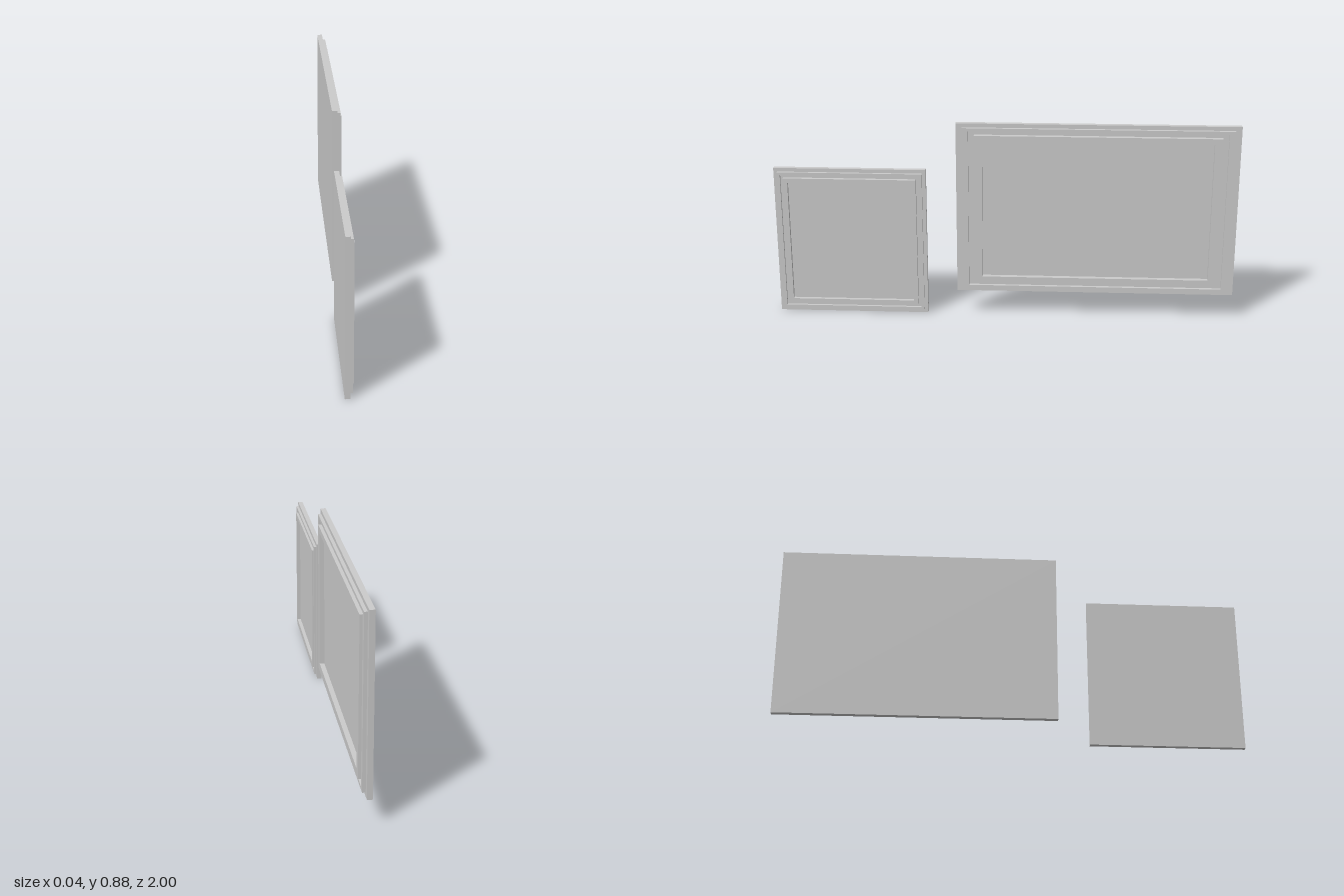
import * as THREE from 'three';

const material = new THREE.MeshStandardMaterial({ color: 0xcccccc });
const BACK = -0.023;

// Rectangle [width, height] centred on the origin
function rectangle(PathType, w, h) {
  const p = new PathType();
  p.moveTo(-w / 2, -h / 2);
  p.lineTo(w / 2, -h / 2);
  p.lineTo(w / 2, h / 2);
  p.lineTo(-w / 2, h / 2);
  p.closePath();
  return p;
}

// Raised rectangular moulding between an outer and an inner outline, facing +x
function moulding(name, outer, inner, x0, x1) {
  const shape = rectangle(THREE.Shape, ...outer);
  shape.holes.push(rectangle(THREE.Path, ...inner));
  const geometry = new THREE.ExtrudeGeometry(shape, { depth: x1 - x0, bevelEnabled: false });
  geometry.rotateY(Math.PI / 2);
  geometry.translate(x0, 0, 0);
  const mesh = new THREE.Mesh(geometry, material);
  mesh.name = name;
  return mesh;
}

function wallPanel({ name, z, y, width, height, plate, outer, inner, insets }) {
  const panel = new THREE.Group();
  panel.name = name;
  panel.position.set(0, y, z);

  // Flat backing plate
  const board = new THREE.Mesh(new THREE.BoxGeometry(plate - BACK, height, width), material);
  board.name = 'backPlate';
  board.position.x = (plate + BACK) / 2;
  panel.add(board);

  // Two concentric mouldings with a groove between them
  const [a, b, c, d] = insets.map(([iz, iy]) => [width - 2 * iz, height - 2 * iy]);
  panel.add(moulding('outerMoulding', a, b, plate, outer));
  panel.add(moulding('innerMoulding', c, d, plate, inner));
  return panel;
}

export function createModel() {
  const model = new THREE.Group();
  model.name = 'wallPanels';
  model.add(
    wallPanel({
      name: 'largePanel', z: -0.396, y: 0.494, width: 1.208, height: 0.764,
      plate: 0, outer: 0.014, inner: 0.021,
      insets: [[0.027, 0.017], [0.053, 0.031], [0.079, 0.048], [0.113, 0.075]],
    }),
    wallPanel({
      name: 'smallPanel', z: 0.67, y: 0.3325, width: 0.66, height: 0.665,
      plate: -0.002, outer: 0.009, inner: 0.014,
      insets: [[0.016, 0.016], [0.029, 0.029], [0.042, 0.042], [0.061, 0.062]],
    }),
  );
  return model;
}
